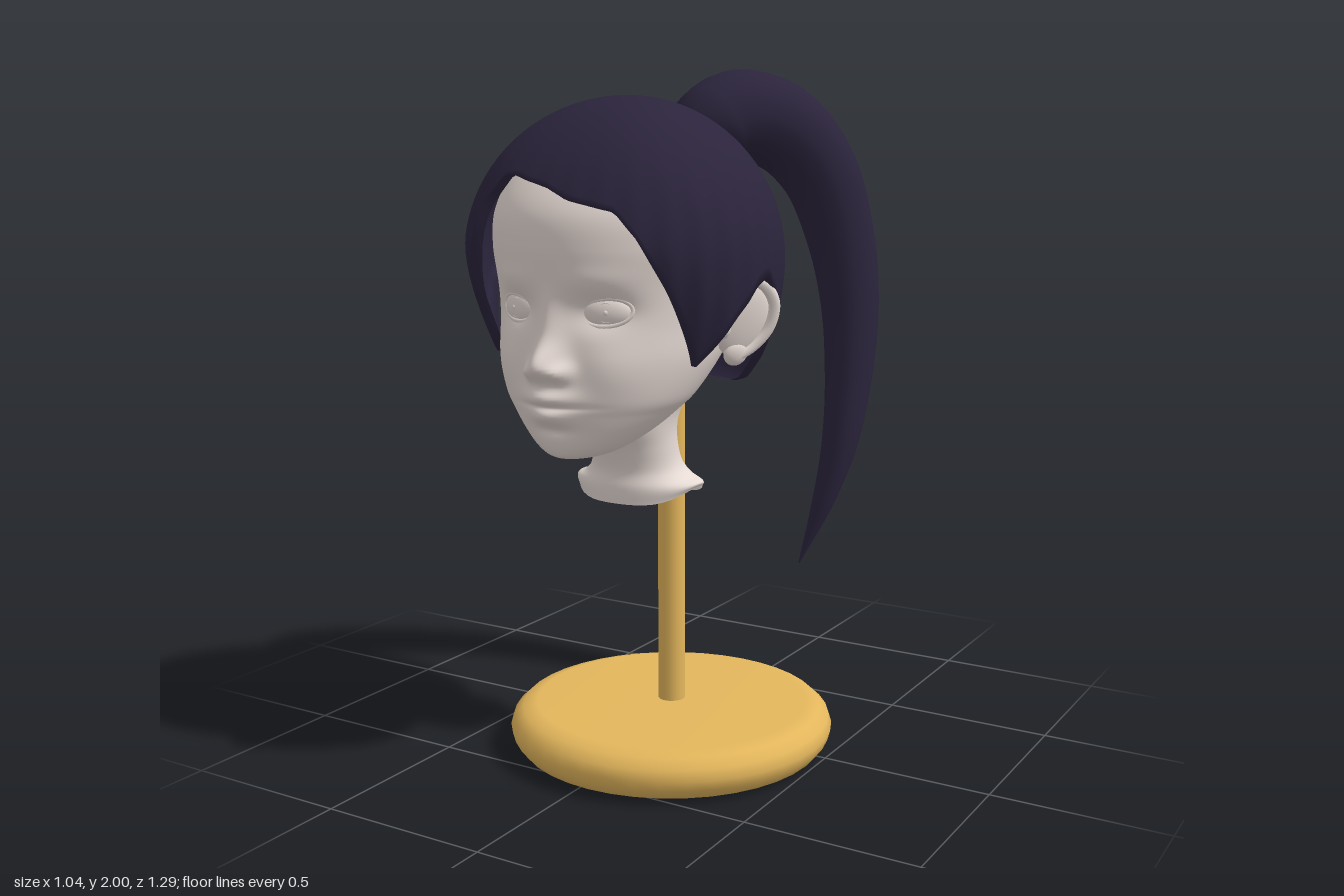
import * as THREE from 'three';

const SIDE = THREE.DoubleSide;
const skin = new THREE.MeshStandardMaterial({ color: 0xe6dad4, side: SIDE });
const hair = new THREE.MeshStandardMaterial({ color: 0x2b243c, side: SIDE });
const gold = new THREE.MeshStandardMaterial({ color: 0xe3b65c });
const CX = -0.063; // the head sits a little off the middle

function add(parent, name, geometry, material, x = 0, y = 0, z = 0) {
  const mesh = new THREE.Mesh(geometry, material);
  mesh.name = name;
  mesh.position.set(x, y, z);
  parent.add(mesh);
  return mesh;
}

// Smooth surface closed in u; fn(u, v) gives [x, y, z], u and v from 0 to 1
function surface(fn, nu, nv) {
  const pos = [], idx = [];
  for (let j = 0; j <= nv; j++)
    for (let i = 0; i < nu; i++) pos.push(...fn(i / nu, j / nv));
  for (let j = 0; j < nv; j++)
    for (let i = 0; i < nu; i++) {
      const a = j * nu + i, b = j * nu + (i + 1) % nu;
      idx.push(a, b, b + nu, a, b + nu, a + nu);
    }
  const g = new THREE.BufferGeometry();
  g.setAttribute('position', new THREE.Float32BufferAttribute(pos, 3));
  g.setIndex(idx);
  g.computeVertexNormals();
  return g;
}

// Smooth lookup through rows of [y, half width, front z, back z]
function sections(rows) {
  const a = new THREE.CatmullRomCurve3(rows.map(r => new THREE.Vector3(r[0], r[1], 0)), false, 'catmullrom');
  const b = new THREE.CatmullRomCurve3(rows.map(r => new THREE.Vector3(r[2], r[3], 0)), false, 'catmullrom');
  return v => {
    const p = a.getPoint(v), q = b.getPoint(v);
    return { y: p.x, w: Math.max(p.y, 0), zc: (q.x + q.y) / 2, rz: Math.max((q.x - q.y) / 2, 0) };
  };
}

// Linear lookup through pairs of [key, value]
function lookup(table, k) {
  let i = 1;
  while (i < table.length - 1 && table[i][0] < k) i++;
  const [k0, v0] = table[i - 1], [k1, v1] = table[i];
  return v0 + (v1 - v0) * THREE.MathUtils.clamp((k - k0) / (k1 - k0), 0, 1);
}

const bump = (x, y, cx, cy, sx, sy) => Math.exp(-(((x - cx) / sx) ** 2) - ((y - cy) / sy) ** 2);

// Relief of the face, x measured from its middle line
function relief(x, y) {
  const m = Math.abs(x);
  return 0.072 * bump(x, y, 0, 1.19, 0.046, y < 1.19 ? 0.042 : 0.06)  // nose tip
    + 0.022 * bump(x, y, 0, 1.29, 0.042, 0.08)                        // bridge
    + 0.032 * bump(m, y, 0.05, 1.175, 0.024, 0.024)                   // nostril wings
    - 0.034 * bump(m, y, 0.135, 1.335, 0.075, 0.045)                  // eye sockets
    + 0.008 * bump(m, y, 0.13, 1.42, 0.1, 0.035)                      // brows
    + 0.015 * bump(m, y, 0.17, 1.18, 0.08, 0.08)                      // cheeks
    + 0.024 * bump(x, y, 0, 1.09, 0.1, 0.07)                          // muzzle
    + 0.026 * bump(x, y, 0, 1.105, 0.065, 0.022)                      // upper lip
    + 0.022 * bump(x, y, 0, 1.052, 0.055, 0.022)                      // lower lip
    - 0.011 * bump(x, y, 0, 1.08, 0.09, 0.009)                        // mouth line
    - 0.012 * bump(x, y, 0, 1.012, 0.06, 0.018);                      // dip over the chin
}

function headGeometry() {
  const at = sections([
    [0.922, 0, 0.47, 0.45], [0.93, 0.07, 0.52, 0.34], [0.955, 0.125, 0.542, 0.27],
    [1.0, 0.185, 0.553, 0.19], [1.05, 0.235, 0.56, 0.12], [1.1, 0.275, 0.565, 0.06],
    [1.2, 0.318, 0.566, -0.04], [1.3, 0.335, 0.563, -0.12], [1.4, 0.345, 0.572, -0.17],
    [1.5, 0.358, 0.587, -0.19], [1.6, 0.352, 0.574, -0.18], [1.7, 0.31, 0.505, -0.13],
    [1.8, 0.22, 0.39, -0.03], [1.86, 0, 0.2, 0.18]]);
  return surface((u, v) => {
    const s = at(v), a = u * 2 * Math.PI, phi = a - 0.45 * Math.sin(a); // finer at the front
    const x = s.w * Math.sin(phi), c = Math.cos(phi);
    return [CX + x, s.y, s.zc + s.rz * c + (c > 0 ? relief(x, s.y) * Math.min(1, c * 3) : 0)];
  }, 144, 156);
}

function neckGeometry() {
  const at = sections([
    [0.755, 0.195, 0.275, 0.005], [0.8, 0.2, 0.275, 0.01], [0.85, 0.145, 0.27, 0.032],
    [0.92, 0.13, 0.295, 0.045], [1.0, 0.135, 0.34, 0.035], [1.1, 0.165, 0.33, 0.0], [1.25, 0.2, 0.25, -0.05]]);
  return surface((u, v) => {
    const s = at(v), phi = u * 2 * Math.PI, lift = 0.045 * Math.sin(phi) ** 4 * Math.max(0, 1 - v * 4);
    return [-0.048 + s.w * Math.sin(phi), s.y + lift, s.zc + s.rz * Math.cos(phi)];
  }, 40, 36);
}

// Height of the hairline by angle: 0 is the front, positive goes to the left
const sideLine = [[58, 1.185], [64, 1.23], [81, 1.385], [89, 1.42], [98, 1.37], [110, 1.2], [122, 1.11], [135, 1.09], [180, 1.085]];
const hairline = [
  ...sideLine.map(([a, y]) => [-a, y]).reverse(),
  [-52, 1.23], [-43, 1.4], [-32, 1.62], [-25.5, 1.69], [-19, 1.692], [0, 1.66], [9, 1.63],
  [27, 1.6], [34.5, 1.53], [44, 1.4], ...sideLine];

function hairCapGeometry() {
  const cy = 1.46, rows = 30;
  return surface((u, v) => {
    const phi = (u * 2 - 1) * Math.PI;
    const dy = lookup(hairline, phi * 180 / Math.PI) - cy;
    const edge = Math.acos(dy / (dy > 0 ? 0.45 : 0.55));
    const t = edge * Math.min(1, (1 - v) * rows / (rows - 1));
    const c = Math.cos(t), y = cy + c * (c > 0 ? 0.45 : 0.55);
    const tuck = v === 0 ? 0.93 : 1; // the hem turns inward
    const fringe = Math.cos(phi) > 0 ? THREE.MathUtils.smoothstep(y, 1.2, 1.55) : 0; // fuller over the forehead
    const f = Math.sin(t) * tuck * (1 + 0.006 * Math.cos(32 * phi) * Math.sin(t) ** 6 + 0.045 * fringe * Math.sin(2 * phi) ** 2);
    return [CX + 0.452 * f * Math.sin(phi), y, 0.172 + (0.41 + 0.03 * fringe) * f * Math.cos(phi)];
  }, 180, rows);
}

function ponytailGeometry() {
  const pts = [ // x, y, z, radius
    [-0.035, 1.74, -0.105, 0.035], [-0.02, 1.815, -0.19, 0.122], [0.03, 1.86, -0.295, 0.14], [0.125, 1.825, -0.405, 0.137],
    [0.21, 1.7, -0.49, 0.123], [0.268, 1.5, -0.537, 0.107], [0.303, 1.3, -0.543, 0.093], [0.317, 1.1, -0.522, 0.079],
    [0.31, 0.85, -0.478, 0.058], [0.27, 0.65, -0.438, 0.034], [0.21, 0.455, -0.4, 0.002]];
  const curve = new THREE.CatmullRomCurve3(pts.map(p => new THREE.Vector3(p[0], p[1], p[2])));
  const n = 48, frames = curve.computeFrenetFrames(n);
  const radii = pts.map((p, i) => [i / (pts.length - 1), p[3]]);
  return surface((u, v) => {
    const k = Math.round(v * n), a = u * 2 * Math.PI;
    const r = v === 0 ? 0 : lookup(radii, curve.getUtoTmapping(v));
    return curve.getPointAt(v)
      .addScaledVector(frames.normals[k], r * Math.cos(a))
      .addScaledVector(frames.binormals[k], r * Math.sin(a)).toArray();
  }, 18, n);
}

function tubeThrough(points, radius, closed) {
  const curve = new THREE.CatmullRomCurve3(points.map(p => new THREE.Vector3(...p)), closed);
  return new THREE.TubeGeometry(curve, 40, radius, 8, closed);
}

// Almond eye with lids, iris and pupil
function makeEye() {
  const eye = new THREE.Group();
  eye.name = 'eye';
  add(eye, 'eyeball', new THREE.SphereGeometry(1, 28, 18), skin).scale.set(0.07, 0.045, 0.027);
  const lid = [];
  for (let i = 0; i < 16; i++) {
    const a = i / 16 * 2 * Math.PI, s = Math.sin(a);
    lid.push([0.07 * Math.cos(a), 0.037 * s + 0.006 * Math.cos(a), 0.004 + 0.012 * s * s]);
  }
  add(eye, 'eyelids', tubeThrough(lid, 0.007, true), skin);
  add(eye, 'iris', new THREE.TorusGeometry(0.026, 0.002, 6, 24), skin, 0, 0, 0.021);
  add(eye, 'pupil', new THREE.SphereGeometry(0.009, 12, 8), skin, 0, 0, 0.021);
  return eye;
}

// Ear lying in the z-y plane, facing outward along +x
function makeEar() {
  const ear = new THREE.Group();
  ear.name = 'ear';
  add(ear, 'earBowl', new THREE.SphereGeometry(1, 24, 16), skin, -0.012, 0, 0).scale.set(0.026, 0.112, 0.074);
  add(ear, 'earRim', tubeThrough([[0, 0.01, 0.045], [0, 0.07, 0.068], [0.005, 0.112, 0.03], [0.01, 0.105, -0.03],
    [0.012, 0.05, -0.07], [0.01, -0.02, -0.066], [0.004, -0.075, -0.03], [0, -0.105, 0.015]], 0.015, false), skin);
  add(ear, 'earLobe', new THREE.SphereGeometry(1, 16, 12), skin, -0.002, -0.093, 0.012).scale.set(0.018, 0.035, 0.032);
  add(ear, 'tragus', new THREE.SphereGeometry(1, 12, 10), skin, 0, -0.02, 0.052).scale.set(0.018, 0.028, 0.016);
  return ear;
}

export function createModel() {
  const model = new THREE.Group();
  model.name = 'headOnStand';

  // Stand: rounded disc and rod
  const profile = [[0, 0], [0.41, 0], [0.45, 0.012], [0.472, 0.04], [0.48, 0.07], [0.47, 0.1], [0.443, 0.125], [0.4, 0.137], [0, 0.137]];
  const disc = new THREE.LatheGeometry(profile.map(p => new THREE.Vector2(...p)), 40);
  add(model, 'standBase', disc, gold, 0.04, 0, 0.11);
  add(model, 'standRod', new THREE.CylinderGeometry(0.04, 0.04, 0.95, 20), gold, 0.04, 0.605, 0.108);

  // Head and neck
  add(model, 'head', headGeometry(), skin);
  add(model, 'neck', neckGeometry(), skin);
  for (const s of [1, -1]) {
    const side = new THREE.Group();
    side.name = s > 0 ? 'leftSide' : 'rightSide';
    side.position.x = CX;
    side.scale.x = s;
    const eye = makeEye();
    eye.position.set(0.14, 1.335, 0.497);
    eye.rotation.y = 0.36;
    const ear = makeEar();
    ear.position.set(0.376, 1.295, 0.173);
    ear.rotation.set(0, -0.5, -0.2);
    ear.scale.set(1, 1.02, 1.2);
    side.add(eye, ear);
    model.add(side);
  }

  // Hair
  add(model, 'hairCap', hairCapGeometry(), hair);
  add(model, 'ponytail', ponytailGeometry(), hair);
  return model;
}
